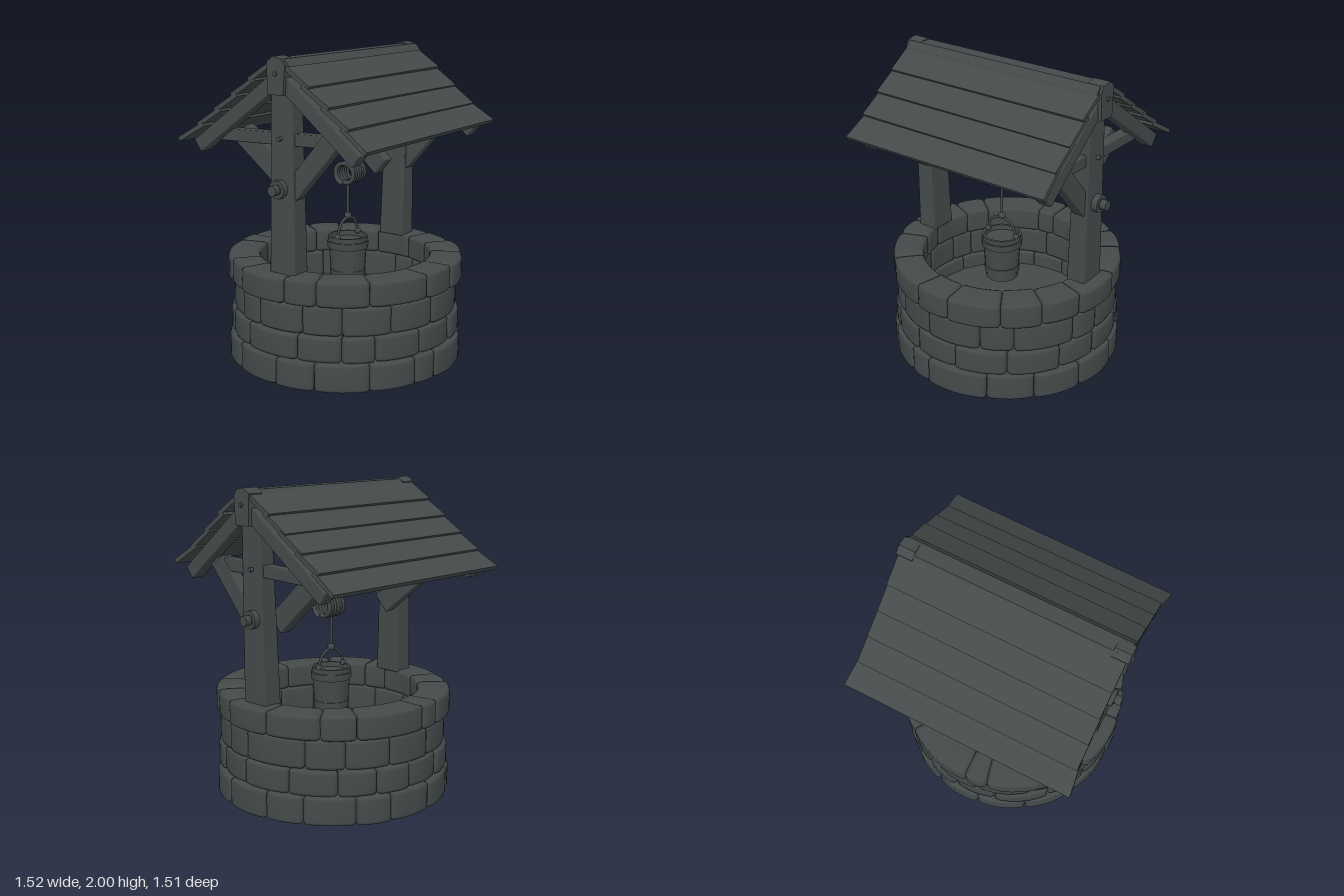
import * as THREE from 'three';
import { mergeVertices } from 'three/addons/utils/BufferGeometryUtils.js';
import { RoundedBoxGeometry } from 'three/addons/geometries/RoundedBoxGeometry.js';

const V = (x, y, z) => new THREE.Vector3(x, y, z);

function seeded(seed) {
  return () => {
    seed = (seed * 16807) % 2147483647;
    return seed / 2147483647;
  };
}

// Move every vertex of a geometry by a rule
function warp(geo, rule) {
  const p = geo.attributes.position;
  const v = new THREE.Vector3();
  for (let i = 0; i < p.count; i++) {
    v.fromBufferAttribute(p, i);
    rule(v);
    p.setXYZ(i, v.x, v.y, v.z);
  }
  return geo;
}

// Bevelled block bent around the y axis, bulging slightly outwards
function stoneGeometry(a0, a1, rIn, rOut, y0, y1) {
  const rMid = (rIn + rOut) / 2, bevel = 0.024;
  const half = [((a1 - a0) * rMid) / 2, (y1 - y0) / 2, (rOut - rIn) / 2];
  const segs = [8, 3, 3];
  const geo = new THREE.BoxGeometry(2, 2, 2, ...segs);
  geo.deleteAttribute('uv');
  geo.deleteAttribute('normal');
  const core = new THREE.Vector3();
  warp(geo, (v) => {
    const q = v.toArray().map((t, k) => {
      const inner = 1 - 2 / segs[k];
      return Math.abs(t) > inner + 0.01 ? Math.sign(t) * half[k] : (t / inner) * (half[k] - bevel);
    });
    core.set(...q.map((t, k) => THREE.MathUtils.clamp(t, bevel - half[k], half[k] - bevel)));
    v.set(...q).sub(core).setLength(bevel).add(core);
    const bulge = v.z > 0 ? 0.008 * (1 - (v.x / half[0]) ** 2) : 0;
    const a = (a0 + a1) / 2 + v.x / rMid, r = rMid + v.z + bulge;
    v.set(Math.sin(a) * r, (y0 + y1) / 2 + v.y, Math.cos(a) * r);
  });
  const smooth = mergeVertices(geo, 1e-4);
  smooth.computeVertexNormals();
  return smooth;
}

export function createModel() {
  const well = new THREE.Group();
  well.name = 'well';
  const slate = new THREE.MeshStandardMaterial({ color: 0x444a4a });
  slate.name = 'dark slate';

  function add(name, geo, x = 0, y = 0, z = 0, parent = well) {
    const m = new THREE.Mesh(geo, slate);
    m.name = name;
    m.position.set(x, y, z);
    parent.add(m);
    return m;
  }

  // Straight timber from a to b, w wide sideways and h deep
  function beam(name, a, b, w, h) {
    const geo = new RoundedBoxGeometry(w, h, a.distanceTo(b), 1, 0.008);
    const m = add(name, geo, ...a.clone().lerp(b, 0.5).toArray());
    m.lookAt(b);
    return m;
  }

  // Stone wall: four courses of irregular blocks
  const rand = seeded(4711);
  const courses = [
    [0, 0.187, 0.55, 0.75], [0.18, 0.352, 0.56, 0.733],
    [0.346, 0.538, 0.56, 0.725], [0.53, 0.697, 0.55, 0.75],
  ];
  courses.forEach(([y0, y1, rIn, rOut], c) => {
    const course = new THREE.Group();
    course.name = 'stoneCourse' + (c + 1);
    well.add(course);
    const n = 15, step = (Math.PI * 2) / n;
    const cuts = Array.from({ length: n }, (_, i) => (i + c * 0.45 + (rand() - 0.5) * 0.55) * step);
    cuts.push(cuts[0] + Math.PI * 2);
    for (let i = 0; i < n; i++) {
      const top = y1 - rand() * 0.008, out = rOut + (rand() - 0.6) * 0.016;
      add('stone', stoneGeometry(cuts[i], cuts[i + 1], rIn, out, y0, top), 0, 0, 0, course);
    }
  });

  // Floor inside the wall
  add('wellFloor', new THREE.CylinderGeometry(0.57, 0.57, 0.22, 40), 0, 0.135, 0);

  // Timber frame, mirrored left and right
  for (const s of [1, -1]) {
    const post = new RoundedBoxGeometry(0.13, 1.12, 0.19, 1, 0.008);
    warp(post, (v) => {
      const t = v.y / 1.12 + 0.5;
      v.x *= 1 - 0.2 * t;
      v.z = v.z * (1 - 0.18 * t) + 0.012 * t;
      v.x += s * 0.015 * t;
    });
    add('post', post, s * 0.605, 1.24, 0.01);

    // Post head with chamfered top, drawn in the zy plane
    const outline = [[-0.06, 0], [0.055, 0], [0.068, 0.17], [0.045, 0.21], [-0.02, 0.222], [-0.064, 0.19]];
    const shape = new THREE.Shape(outline.map(([z, y]) => new THREE.Vector2(-z, y)));
    const head = new THREE.ExtrudeGeometry(shape, { depth: 0.105, bevelEnabled: false });
    head.translate(0, 0, -0.0525);
    add('postHead', head, s * 0.68, 1.778, 0.028).rotation.y = Math.PI / 2;

    beam('frontRafter', V(s * 0.665, 1.85, 0.06), V(s * 0.665, 1.44, 0.57), 0.09, 0.09);
    beam('backRafter', V(s * 0.665, 1.85, -0.01), V(s * 0.665, 1.418, -0.615), 0.09, 0.09);
    beam('tieBeam', V(s * 0.61, 1.52, 0.42), V(s * 0.61, 1.495, -0.52), 0.08, 0.075);
    beam('frontBrace', V(s * 0.615, 1.19, 0.06), V(s * 0.615, 1.53, 0.36), 0.08, 0.12);
    beam('backBrace', V(s * 0.475, 1.165, -0.015), V(s * 0.505, 1.5, -0.41), 0.08, 0.14);

    // Axle end with washer and cap
    const round = (name, r, len, x, y, z, sides) => {
      add(name, new THREE.CylinderGeometry(r, r, len, sides), s * x, y, z).rotation.z = Math.PI / 2;
    };
    round('axleStub', 0.035, 0.08, 0.675, 1.215, 0.005, 12);
    round('axleWasher', 0.057, 0.04, 0.69, 1.215, 0.005, 10);
    round('axleCap', 0.032, 0.05, 0.73, 1.215, 0.005, 10);
    round('headPeg', 0.014, 0.02, 0.735, 1.9, 0.028, 8);
    round('postPeg', 0.014, 0.03, 0.68, 1.515, 0.012, 8);
  }

  // Ridge cap closing the gap between the two slopes
  const ridge = new THREE.BoxGeometry(1.43, 0.045, 0.165);
  warp(ridge, (v) => { v.z *= v.y > 0 ? 0.55 : 1; });
  ridge.computeVertexNormals();
  add('ridgeCap', ridge, 0, 1.965, 0.036);

  // Roof boards, each lapping over the one below it
  const slopes = [
    ['frontBoard', 4, V(0, 1.935, 0.115), V(0, 1.498, 0.66)],
    ['backBoard', 5, V(0, 1.95, -0.05), V(0, 1.447, -0.73)],
  ];
  for (const [name, n, top, eave] of slopes) {
    const dir = eave.clone().sub(top).normalize();
    const up = V(0, Math.abs(dir.z), -dir.y * Math.sign(dir.z));
    for (let i = 0; i < n; i++) {
      const a = top.clone().lerp(eave, (i - 0.25) / n).addScaledVector(up, -0.016);
      const b = top.clone().lerp(eave, (i + 1) / n).addScaledVector(up, 0.002);
      const len = a.distanceTo(b), flare = i === n - 1 ? 0.025 : 0;
      const lift = [(rand() - 0.5) * 0.012, (rand() - 0.5) * 0.012];
      const geo = new THREE.BoxGeometry(1.44, 0.028, len);
      warp(geo, (v) => {
        const low = v.z > 0 ? 1 : 0;
        v.y += lift[v.x > 0 ? 1 : 0] * low;
        v.x += Math.sign(v.x) * (flare * low + lift[0] * 0.6);
      });
      geo.computeVertexNormals();
      add(name, geo, ...a.clone().lerp(b, 0.5).toArray()).lookAt(b);
    }
  }

  // Rope wound in a hollow coil, with the hanging length
  const turns = 6, coil = [];
  for (let i = 0; i <= turns * 16; i++) {
    const a = (i / 16) * Math.PI * 2 + Math.PI;
    coil.push(V(-0.063 + (i / (turns * 16)) * 0.148, 1.21 + Math.cos(a) * 0.065, 0.03 + Math.sin(a) * 0.065));
  }
  add('ropeCoil', new THREE.TubeGeometry(new THREE.CatmullRomCurve3(coil), 144, 0.0145, 6));
  add('rope', new THREE.CylinderGeometry(0.009, 0.009, 0.24, 8), -0.018, 1.045, 0.035);
  add('ropeKnot', new THREE.SphereGeometry(0.024, 10, 8), -0.018, 0.928, 0.035);

  // Bucket with hoops and an arched handle
  const bucket = new THREE.Group();
  bucket.name = 'bucket';
  bucket.position.set(-0.018, 0, 0.035);
  well.add(bucket);
  const profile = [[0, 0.49], [0.106, 0.49], [0.128, 0.8], [0.112, 0.8], [0.108, 0.74], [0, 0.74]];
  const shell = new THREE.LatheGeometry(profile.map(([r, y]) => new THREE.Vector2(r, y)), 20).toNonIndexed();
  shell.computeVertexNormals();
  add('bucketBody', shell, 0, 0, 0, bucket);
  for (const [y, r] of [[0.555, 0.114], [0.745, 0.132]]) {
    add('bucketHoop', new THREE.CylinderGeometry(r + 0.003, r, 0.045, 20), 0, y, 0, bucket);
  }
  add('bucketHandle', new THREE.TorusGeometry(0.108, 0.009, 8, 24, Math.PI), 0, 0.81, 0, bucket);
  for (const s of [1, -1]) {
    add('handleEar', new THREE.SphereGeometry(0.021, 8, 6), s * 0.112, 0.805, 0, bucket);
  }
  return well;
}
